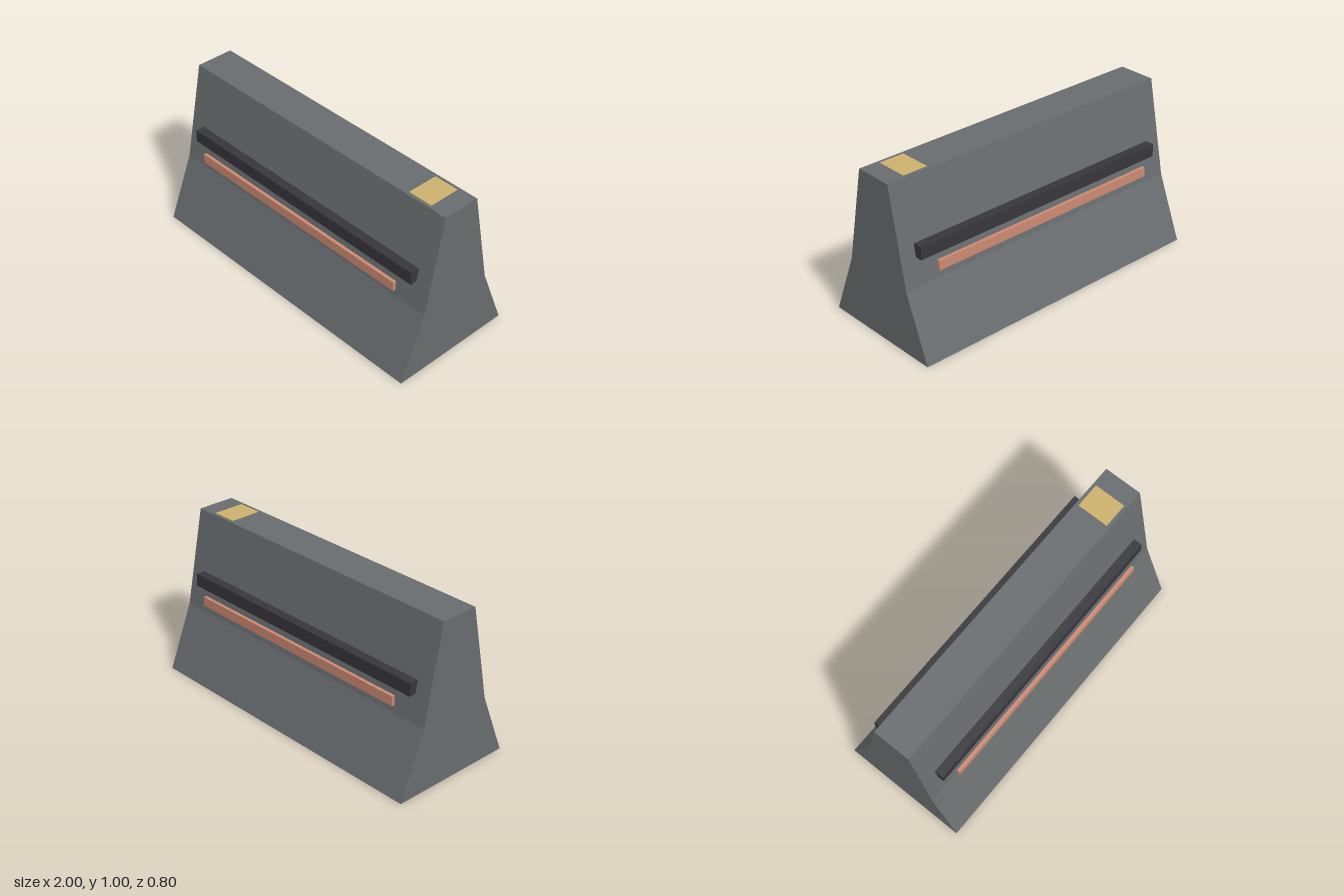
import * as THREE from 'three';

const mat = (name, color) => {
  const m = new THREE.MeshStandardMaterial({ color });
  m.name = name;
  return m;
};

export function createModel() {
  const concrete = mat('concreteGrey', 0x686c6e);
  const rubber = mat('darkRail', 0x37363c);
  const copper = mat('copperStrip', 0xcd8a72);
  const gold = mat('goldPlate', 0xccb16e);

  const model = new THREE.Group();
  model.name = 'barrier';

  const add = (name, geometry, material, x = 0, y = 0, z = 0) => {
    const mesh = new THREE.Mesh(geometry, material);
    mesh.name = name;
    mesh.position.set(x, y, z);
    model.add(mesh);
  };

  // Barrier body: flared cross-section extruded along x
  const profile = [[-0.4, 0], [0.4, 0], [0.24, 0.4], [0.12, 1], [-0.12, 1], [-0.24, 0.4]];
  const shape = new THREE.Shape(profile.map(([z, y]) => new THREE.Vector2(z, y)));
  const body = new THREE.ExtrudeGeometry(shape, { depth: 2, bevelEnabled: false });
  body.translate(0, 0, -1).rotateY(Math.PI / 2);
  add('body', body, concrete);

  // Bumper rail and floating strip on both long sides
  for (const [side, s] of [['front', 1], ['back', -1]]) {
    add(side + 'Rail', new THREE.BoxGeometry(1.8, 0.08, 0.06), rubber, 0, 0.6, s * 0.22);
    add(side + 'Strip', new THREE.BoxGeometry(1.6, 0.06, 0.02), copper, 0, 0.5, s * 0.27);
  }

  // Thin marker plate on the top, near the left end
  add('topPlate', new THREE.BoxGeometry(0.16, 0.004, 0.2), gold, 0.8, 1, 0);

  return model;
}
